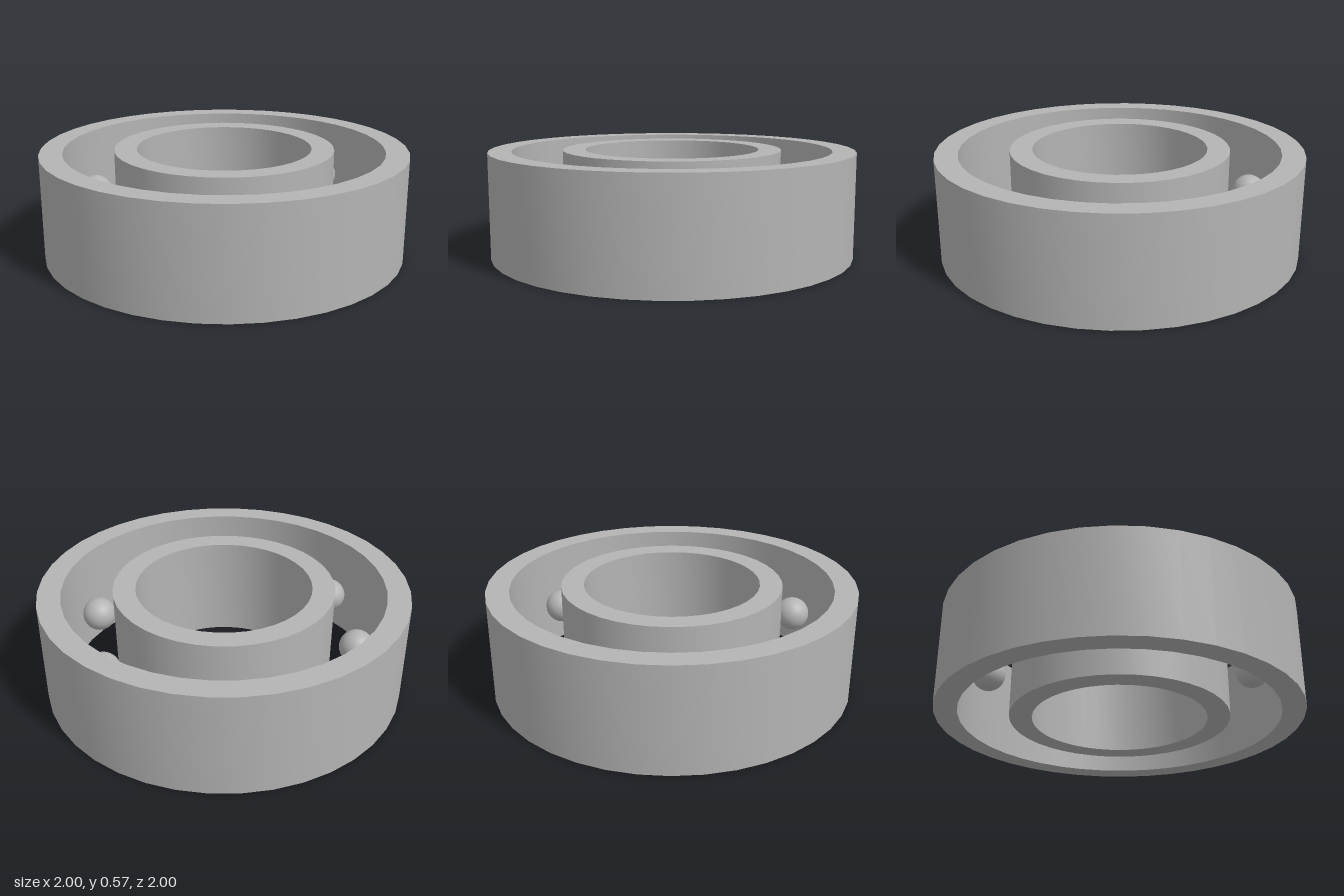
import * as THREE from 'three';
import { toCreasedNormals } from 'three/addons/utils/BufferGeometryUtils.js';

const HEIGHT = 0.575;
const BALLS = 8;
const BALL_RADIUS = 0.094;
const TRACK_RADIUS = 0.738;

// Square-edged ring: a closed rectangular profile spun about y
function ring(name, inner, outer, material) {
  const profile = [
    [inner, 0], [outer, 0], [outer, HEIGHT], [inner, HEIGHT], [inner, 0],
  ].map(([x, y]) => new THREE.Vector2(x, y));
  const geometry = toCreasedNormals(new THREE.LatheGeometry(profile, 40), 0.6);
  const mesh = new THREE.Mesh(geometry, material);
  mesh.name = name;
  return mesh;
}

export function createModel() {
  const model = new THREE.Group();
  model.name = 'ballBearing';

  const steel = new THREE.MeshStandardMaterial({ color: 0xb4b4b4 });
  steel.name = 'steel grey';

  // Races
  model.add(ring('outerRace', 0.875, 1, steel));
  model.add(ring('innerRace', 0.478, 0.6, steel));

  // Balls evenly spaced at mid height between the races
  const balls = new THREE.Group();
  balls.name = 'balls';
  const ballGeometry = new THREE.SphereGeometry(BALL_RADIUS, 32, 20);
  for (let i = 0; i < BALLS; i++) {
    const angle = (i / BALLS) * Math.PI * 2;
    const ball = new THREE.Mesh(ballGeometry, steel);
    ball.name = `ball${i + 1}`;
    ball.position.set(Math.cos(angle) * TRACK_RADIUS, HEIGHT / 2, Math.sin(angle) * TRACK_RADIUS);
    balls.add(ball);
  }
  model.add(balls);

  return model;
}
